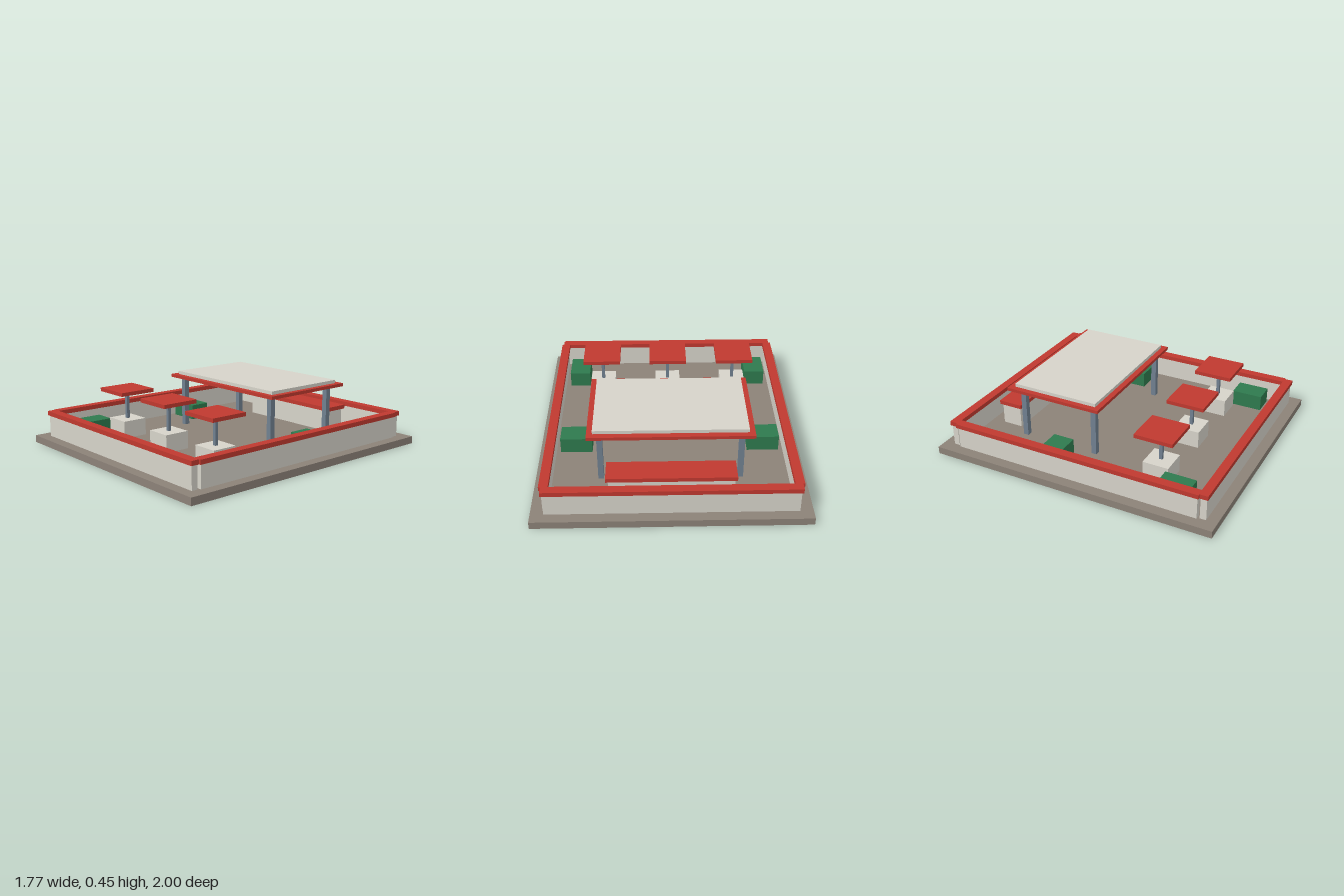
import * as THREE from 'three';

const material = (color) => new THREE.MeshStandardMaterial({ color });

export function createModel() {
  const model = new THREE.Group();
  const stone = material(0x8c8278), cream = material(0xd6d3c9), red = material(0xc0392f);
  const steel = material(0x708090), green = material(0x2e7a4e);

  // Box given by its extents along each axis
  const box = (name, mat, [x0, x1], [y0, y1], [z0, z1], parent = model) => {
    const mesh = new THREE.Mesh(new THREE.BoxGeometry(x1 - x0, y1 - y0, z1 - z0), mat);
    mesh.position.set((x0 + x1) / 2, (y0 + y1) / 2, (z0 + z1) / 2);
    mesh.name = name;
    parent.add(mesh);
    return mesh;
  };
  const around = (c, size) => [c - size / 2, c + size / 2];

  const floor = 0.05;
  box('base', stone, [-0.885, 0.885], [0, floor], [-1, 1]);

  // Perimeter walls with red copings
  for (const [name, z] of [['front', 0.906], ['back', -0.906]]) {
    box(name + 'Wall', cream, [-0.8, 0.8], [floor, 0.2], around(z, 0.042));
    box(name + 'Coping', red, [-0.81, 0.81], [0.2, 0.23], around(z, 0.06));
  }
  for (const [name, x] of [['left', 0.793], ['right', -0.793]]) {
    box(name + 'Wall', cream, around(x, 0.038), [floor, 0.2], [-0.87, 0.87]);
    box(name + 'Coping', red, around(x, 0.06), [0.2, 0.23], [-0.88, 0.88]);
  }

  // Open pavilion: four posts, red eave and roof slab
  const pavilion = new THREE.Group();
  pavilion.name = 'pavilion';
  model.add(pavilion);
  for (const x of [-0.457, 0.457])
    for (const z of [-0.56, -0.02])
      box('post', steel, around(x, 0.037), [floor, 0.405], around(z, 0.037), pavilion);
  box('eave', red, [-0.535, 0.535], [0.405, 0.427], [-0.645, 0.048], pavilion);
  box('roofSlab', cream, [-0.497, 0.497], [0.427, 0.45], [-0.605, 0.01], pavilion);

  // Service counter at the back
  box('counterBody', cream, [-0.4, 0.4], [floor, 0.2], [-0.793, -0.65]);
  box('counterTop', red, [-0.415, 0.415], [0.2, 0.228], [-0.808, -0.635]);

  // Tables with square parasols
  for (const x of [-0.485, 0, 0.482]) {
    const set = new THREE.Group();
    set.name = 'parasolTable';
    set.position.set(x, 0, 0.482);
    model.add(set);
    box('table', cream, around(0, 0.18), [floor, 0.17], around(0, 0.18), set);
    box('pole', steel, around(0, 0.022), [0.17, 0.36], around(0, 0.022), set);
    box('canopy', red, around(0, 0.266), [0.36, 0.386], around(0, 0.266), set);
  }

  // Hedges beside the pavilion and in the front corners
  for (const side of [-1, 1]) {
    box('sideHedge', green, around(side * 0.637, 0.215), [floor, 0.158], [-0.29, -0.142]);
    box('cornerHedge', green, around(side * 0.665, 0.148), [floor, 0.158], [0.56, 0.775]);
  }
  return model;
}
